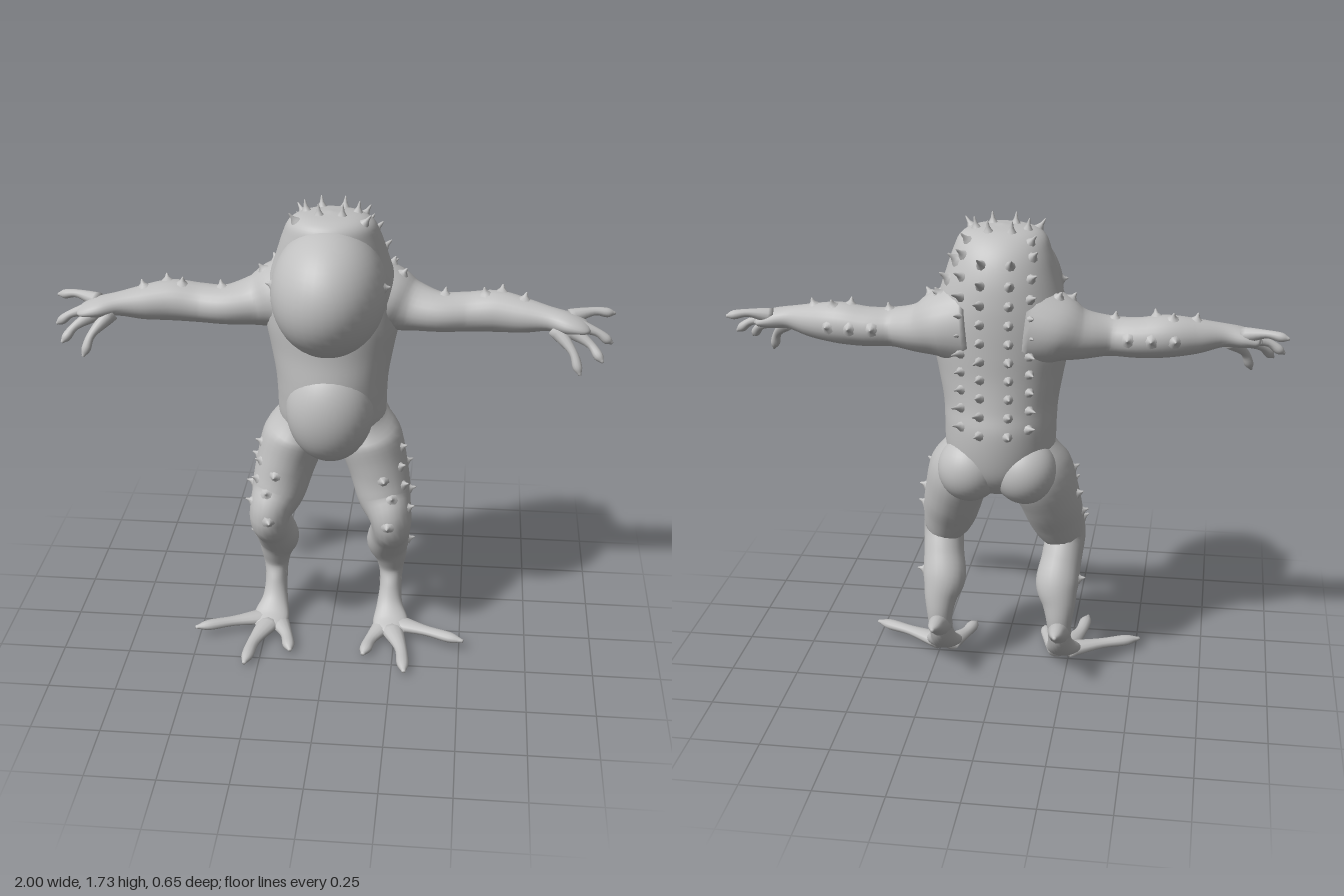
import * as THREE from 'three';

const skin = new THREE.MeshStandardMaterial({ color: 0xc0c0c0 });
skin.name = 'grey skin';

const V = (x, y, z) => new THREE.Vector3(x, y, z);

// Smooth closed loft through sections [x, y, z, radiusU, radiusV].
// U follows the hint direction, V is square to it; axis fixes the ring plane.
function loft(name, sections, hint, sides = 24, axis = null) {
  const path = new THREE.CatmullRomCurve3(sections.map(s => V(s[0], s[1], s[2])), false, 'catmullrom', 0.5);
  const radii = new THREE.SplineCurve(sections.map(s => new THREE.Vector2(s[3], s[4])));
  const rings = (sections.length - 1) * 5;
  const pos = [], idx = [];
  for (let i = 0; i <= rings; i++) {
    const k = i / rings, c = path.getPoint(k), r = radii.getPoint(k);
    const t = axis || path.getTangent(k);
    const u = hint.clone().addScaledVector(t, -hint.dot(t)).normalize();
    const v = t.clone().cross(u);
    for (let j = 0; j < sides; j++) {
      const a = (j / sides) * Math.PI * 2;
      const p = c.clone()
        .addScaledVector(u, Math.cos(a) * Math.max(r.x, 0.002))
        .addScaledVector(v, Math.sin(a) * Math.max(r.y, 0.002));
      pos.push(p.x, p.y, p.z);
    }
  }
  for (let i = 0; i < rings; i++) {
    for (let j = 0; j < sides; j++) {
      const n = (j + 1) % sides;
      const a = i * sides + j, b = i * sides + n, c = a + sides, d = b + sides;
      idx.push(a, b, c, b, d, c);
    }
  }
  // end caps
  const first = path.getPoint(0), last = path.getPoint(1), f = pos.length / 3;
  pos.push(first.x, first.y, first.z, last.x, last.y, last.z);
  for (let j = 0; j < sides; j++) {
    const n = (j + 1) % sides, o = rings * sides;
    idx.push(f, n, j, f + 1, o + j, o + n);
  }
  const geo = new THREE.BufferGeometry();
  geo.setAttribute('position', new THREE.Float32BufferAttribute(pos, 3));
  geo.setIndex(idx);
  geo.computeVertexNormals();
  const mesh = new THREE.Mesh(geo, skin);
  mesh.name = name;
  return mesh;
}

function ellipsoid(name, c, r) {
  const geo = new THREE.SphereGeometry(1, 36, 24).scale(...r).translate(...c);
  const mesh = new THREE.Mesh(geo, skin);
  mesh.name = name;
  return mesh;
}

// Thorn with a flared foot, pointing along +y
const thornGeo = new THREE.LatheGeometry(
  [[1.3, -0.2], [0.8, 0.12], [0.42, 0.4], [0.25, 0.75], [0.12, 0.95], [0, 1]].map(p => new THREE.Vector2(...p)), 8);

const ray = new THREE.Raycaster();
// Plants a thorn where a ray meets the given part
function thorn(group, target, from, dir, length, width, lift = 0) {
  ray.set(V(...from), V(...dir).normalize());
  const hit = ray.intersectObject(target)[0];
  if (!hit) return;
  const m = new THREE.Mesh(thornGeo, skin);
  const n = hit.face.normal.clone();
  n.y += lift;
  m.quaternion.setFromUnitVectors(V(0, 1, 0), n.normalize());
  m.position.copy(hit.point);
  m.scale.set(width, length, width);
  m.name = 'thorn';
  group.add(m);
}

export function createModel() {
  const model = new THREE.Group();
  model.name = 'spinyCreature';
  const X = V(1, 0, 0), Y = V(0, 1, 0);

  // Torso with hunched back: [y, front z, back z, half width]
  const torso = loft('torso', [
    [0.735, -0.06, -0.14, 0.02], [0.76, 0, -0.19, 0.09], [0.82, 0.07, -0.235, 0.165],
    [0.90, 0.13, -0.255, 0.195], [1.0, 0.15, -0.26, 0.2], [1.08, 0.15, -0.245, 0.205],
    [1.18, 0.14, -0.235, 0.222], [1.28, 0.14, -0.235, 0.24], [1.38, 0.14, -0.235, 0.24],
    [1.46, 0.15, -0.23, 0.22], [1.54, 0.15, -0.215, 0.195], [1.61, 0.145, -0.185, 0.172],
    [1.66, 0.13, -0.14, 0.148], [1.685, 0.09, -0.09, 0.1], [1.695, 0.01, -0.01, 0.01],
  ].map(([y, f, b, w]) => [0, y, (f + b) / 2, w, (f - b) / 2]), X, 40, Y);
  model.add(torso);
  model.add(ellipsoid('belly', [0, 0.965, 0.05], [0.16, 0.2, 0.14]));
  const head = ellipsoid('head', [0, 1.435, 0.09], [0.203, 0.228, 0.257]);
  model.add(head);

  const thorns = new THREE.Group();
  thorns.name = 'thorns';
  model.add(thorns);

  for (const s of [1, -1]) {
    const side = s > 0 ? 'left' : 'right';
    const part = (name, list, hint, sides) => {
      const m = loft(side + name, list.map(([x, ...r]) => [s * x, ...r]), hint, sides);
      model.add(m);
      return m;
    };

    model.add(ellipsoid(side + 'Buttock', [s * 0.1, 0.835, -0.145], [0.115, 0.12, 0.115]));

    // Arm and palm
    const arm = part('Arm', [
      [0.10, 1.36, -0.08, 0.16, 0.15], [0.20, 1.35, -0.08, 0.125, 0.14], [0.28, 1.33, -0.07, 0.09, 0.105],
      [0.38, 1.32, -0.045, 0.07, 0.085], [0.48, 1.32, -0.055, 0.07, 0.08], [0.58, 1.328, -0.05, 0.074, 0.078],
      [0.68, 1.325, -0.025, 0.062, 0.065], [0.77, 1.325, 0, 0.042, 0.05], [0.84, 1.315, 0.015, 0.035, 0.062],
      [0.89, 1.305, 0.02, 0.022, 0.055], [0.91, 1.3, 0.02, 0.008, 0.03],
    ], Y);

    // Fingers, back to front
    const fingers = [
      [[0.84, 1.33, -0.01], [0.92, 1.345, -0.035], [1.0, 1.335, -0.05]],
      [[0.85, 1.315, 0.02], [0.93, 1.295, 0.03], [0.99, 1.255, 0.035]],
      [[0.84, 1.305, 0.04], [0.91, 1.265, 0.075], [0.955, 1.215, 0.115]],
      [[0.79, 1.3, 0.03], [0.85, 1.24, 0.085], [0.88, 1.165, 0.12]],
    ];
    fingers.forEach(([a, b, c], i) => part('Finger' + (i + 1), [
      [...a, 0.03, 0.028], [...b, 0.015, 0.016],
      [...b.map((q, k) => q + (c[k] - q) * 0.65), 0.017, 0.017], [...c, 0.005, 0.005],
    ], Y, 12));

    // Leg from hip to instep
    const leg = part('Leg', [
      [0.11, 0.93, -0.05, 0.07, 0.12], [0.14, 0.82, -0.055, 0.115, 0.155], [0.175, 0.70, -0.03, 0.11, 0.132],
      [0.2, 0.60, 0.005, 0.1, 0.106], [0.228, 0.52, 0.04, 0.077, 0.1], [0.222, 0.44, -0.015, 0.075, 0.083],
      [0.212, 0.36, -0.07, 0.08, 0.073], [0.222, 0.29, -0.097, 0.062, 0.06], [0.225, 0.22, -0.11, 0.047, 0.05],
      [0.225, 0.15, -0.09, 0.042, 0.054], [0.225, 0.09, -0.045, 0.05, 0.042], [0.232, 0.05, 0.01, 0.068, 0.032],
      [0.238, 0.035, 0.065, 0.06, 0.02], [0.24, 0.03, 0.09, 0.02, 0.008],
    ], X);
    part('HeelSpur', [
      [0.225, 0.17, -0.09, 0.045, 0.05], [0.225, 0.205, -0.17, 0.034, 0.036],
      [0.225, 0.225, -0.23, 0.022, 0.018], [0.225, 0.235, -0.275, 0.006, 0.006],
    ], X, 14);

    // Toes: inner, middle, outer
    const toes = [
      [[0.215, 0.035, 0.01], [0.165, 0.028, 0.11], [0.138, 0.022, 0.215]],
      [[0.235, 0.035, 0.04], [0.28, 0.03, 0.17], [0.3, 0.025, 0.32]],
      [[0.245, 0.04, 0.01], [0.37, 0.045, 0.065], [0.515, 0.045, 0.125]],
    ];
    toes.forEach(([a, b, c], i) => part('Toe' + (i + 1), [
      [...a, 0.028, 0.045], [...b, 0.018, 0.024],
      [...b.map((q, k) => q + (c[k] - q) * 0.65), 0.019, 0.023], [...c, 0.006, 0.007],
    ], Y, 12));

    // Thorn rows down the back
    for (let i = 0; i < 10; i++) {
      const y = 1.0 + i * 0.066, big = i % 3 === 1 ? 1.4 : 1;
      thorn(thorns, torso, [s * 0.05, y, -1], [0, 0, 1], 0.05 * big, 0.018, 0.15);
      thorn(thorns, torso, [s * 0.12, y + 0.02, -1], [0, 0, 1], 0.04 * big, 0.018, 0.15);
      if (i > 5) thorn(thorns, torso, [s, y, -0.12], [-1, 0, 0], 0.04, 0.022, 0.3);
    }
    // Crown thorns
    for (const [x, z] of [[0.04, 0.03], [0.09, -0.03], [0.12, 0.05], [0.04, -0.08], [0.11, -0.1]])
      thorn(thorns, torso, [s * x, 2, z], [0, -1, 0], 0.04, 0.017);
    // Brow and shoulder thorns
    thorn(thorns, head, [s, 1.47, 0.13], [-s, 0, 0], 0.02, 0.018);
    for (const [x, z] of [[0.21, -0.12], [0.25, -0.06], [0.4, -0.05], [0.54, -0.04], [0.6, -0.07], [0.68, -0.03]])
      thorn(thorns, arm, [s * x, 2, z], [0, -1, 0], 0.025, 0.02);
    for (const x of [0.45, 0.53, 0.61])
      thorn(thorns, arm, [s * x, 1.33, -1], [0, 0, 1], 0.02, 0.02);
    // Thigh and shin warts
    for (const [y, z] of [[0.8, 0.0], [0.74, 0.04], [0.72, -0.05], [0.67, 0.05], [0.63, 0], [0.58, 0.06], [0.38, -0.06]])
      thorn(thorns, leg, [s, y, z], [-s, 0, 0], 0.024, 0.018, 0.2);
    for (const [x, y] of [[0.2, 0.7], [0.23, 0.63], [0.22, 0.53]])
      thorn(thorns, leg, [s * x, y, 1], [0, 0, -1], 0.02, 0.02);
  }
  return model;
}
